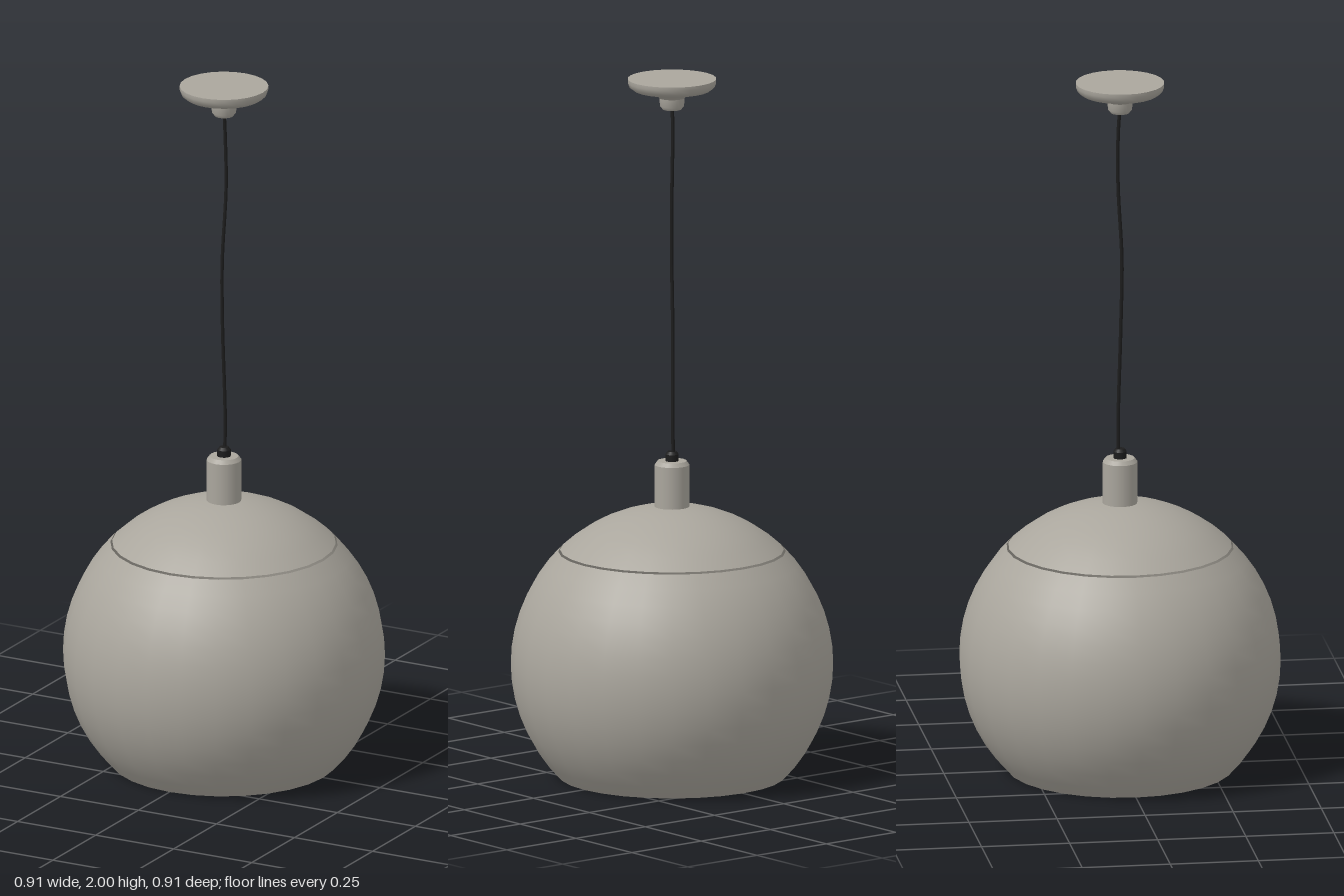
import * as THREE from 'three';

const shell = new THREE.MeshStandardMaterial({ color: 0xaaa69d, side: THREE.DoubleSide });
shell.name = 'warm grey metal';
const black = new THREE.MeshStandardMaterial({ color: 0x1c1c1c });
black.name = 'black cord';

// Repeated points in a profile make a sharp edge
const turned = (name, profile, segments, material) => {
  const points = profile.map(([r, y]) => new THREE.Vector2(r, y));
  const mesh = new THREE.Mesh(new THREE.LatheGeometry(points, segments), material);
  mesh.name = name;
  return mesh;
};

// Part of a sphere's profile, from height y0 up to y1
const R = 0.453, CY = 0.322;
const arc = (y0, y1, steps) => {
  const a0 = Math.asin((y0 - CY) / R), a1 = Math.asin(Math.min(1, (y1 - CY) / R));
  return Array.from({ length: steps + 1 }, (_, i) => {
    const a = a0 + ((a1 - a0) * i) / steps;
    return [Math.max(0, R * Math.cos(a)), CY + R * Math.sin(a)];
  });
};

export function createModel() {
  const lamp = new THREE.Group();
  lamp.name = 'pendantLamp';

  // Open globe and its separate crown
  lamp.add(turned('globeShade', arc(0, 0.643, 14), 28, shell));
  lamp.add(turned('shadeCrown', arc(0.648, CY + R, 7), 28, shell));

  // Socket cover with a bevelled top
  lamp.add(turned('socketCover', [
    [0.049, 0.765], [0.049, 0.892], [0.049, 0.892], [0.041, 0.903],
    [0.041, 0.903], [0, 0.903],
  ], 20, shell));

  // Cord grip
  lamp.add(turned('cordGrip', [
    [0.019, 0.9], [0.019, 0.922], [0.019, 0.922], [0.013, 0.93], [0.013, 0.93], [0, 0.93],
  ], 12, black));

  // Slightly slack cord
  const path = new THREE.CatmullRomCurve3([
    [0, 0.92, -0.005], [0.001, 1.02, -0.005], [-0.004, 1.3, 0.002], [-0.003, 1.48, 0.005],
    [0.004, 1.7, -0.005], [0.001, 1.85, -0.005], [0, 1.93, 0],
  ].map((p) => new THREE.Vector3(...p)));
  const cord = new THREE.Mesh(new THREE.TubeGeometry(path, 32, 0.005, 8), black);
  cord.name = 'cord';
  lamp.add(cord);

  // Ceiling canopy with its stepped neck
  lamp.add(turned('ceilingCanopy', [
    [0, 1.912], [0.026, 1.912], [0.026, 1.912], [0.034, 1.922], [0.036, 1.945], [0.036, 1.945],
    [0.05, 1.957], [0.085, 1.963], [0.108, 1.968], [0.12, 1.977], [0.125, 1.99],
    [0.125, 2], [0.125, 2], [0, 2],
  ], 24, shell));

  return lamp;
}
